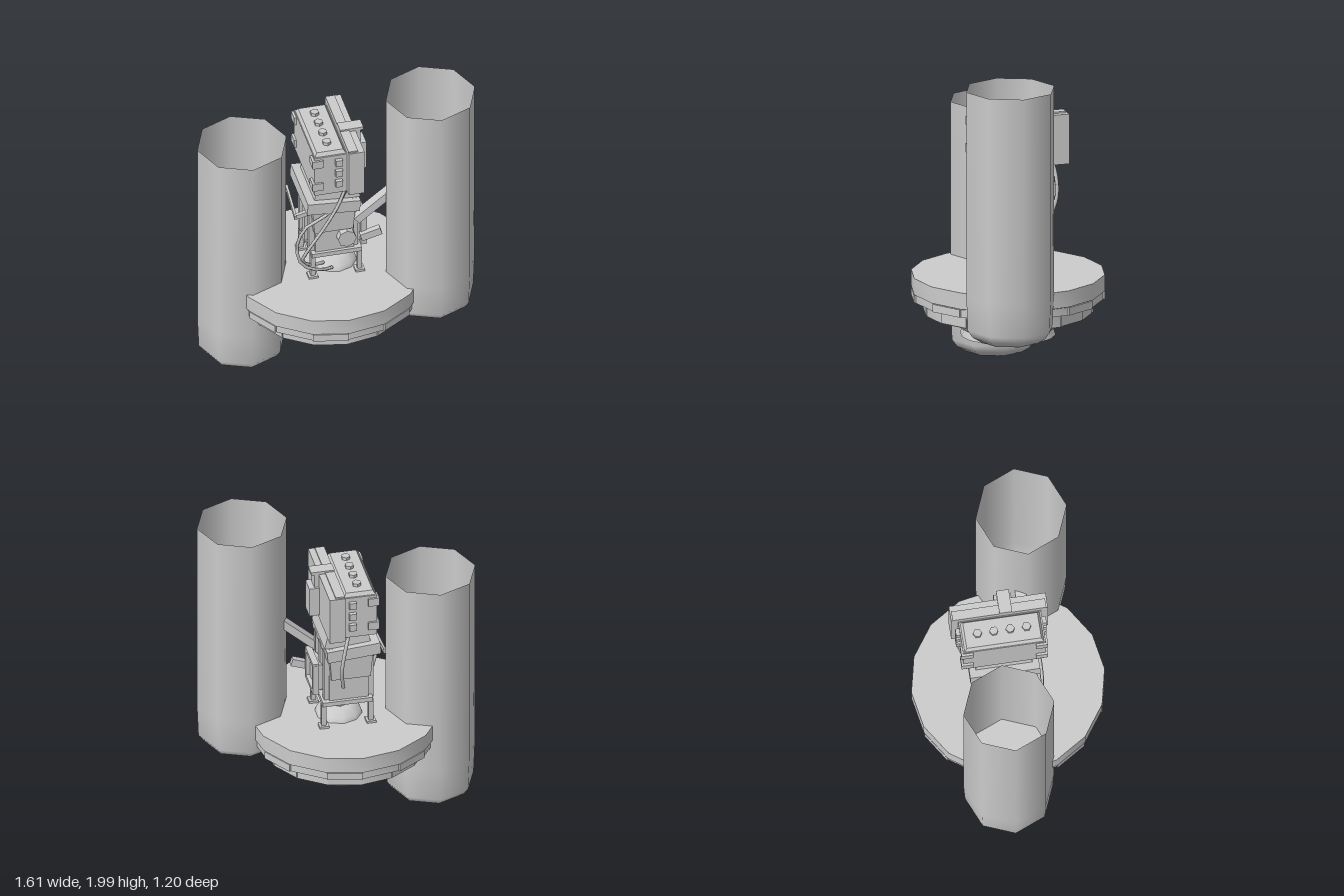
import * as THREE from 'three';
import { toCreasedNormals } from 'three/addons/utils/BufferGeometryUtils.js';

const grey = new THREE.MeshStandardMaterial({ color: 0xcccccc });
const greyDouble = new THREE.MeshStandardMaterial({ color: 0xcccccc, side: THREE.DoubleSide });
const greyFlat = new THREE.MeshStandardMaterial({ color: 0xcccccc, flatShading: true });

function add(parent, name, geometry, pos = [0, 0, 0], material = greyFlat) {
  const mesh = new THREE.Mesh(geometry, material);
  mesh.name = name;
  mesh.position.set(...pos);
  parent.add(mesh);
  return mesh;
}

function box(parent, name, size, pos) {
  return add(parent, name, new THREE.BoxGeometry(...size), pos);
}

// Box whose top is scaled in x and z
function taperedBox(parent, name, size, pos, sx, sz) {
  const g = new THREE.BoxGeometry(...size);
  const p = g.attributes.position;
  for (let i = 0; i < p.count; i++) {
    if (p.getY(i) > 0) p.setXYZ(i, p.getX(i) * sx, p.getY(i), p.getZ(i) * sz);
  }
  return add(parent, name, g, pos);
}

// Flat bar running between two points
function bar(parent, name, a, b, width, thickness) {
  const from = new THREE.Vector3(...a), to = new THREE.Vector3(...b);
  const mesh = box(parent, name, [width, thickness, from.distanceTo(to)],
    from.clone().add(to).multiplyScalar(0.5).toArray());
  mesh.lookAt(to);
  return mesh;
}

function lathe(points, segments) {
  return new THREE.LatheGeometry(points.map(([r, y]) => new THREE.Vector2(r, y)), segments);
}

function hose(parent, points, radius) {
  const curve = new THREE.CatmullRomCurve3(points.map(p => new THREE.Vector3(...p)));
  add(parent, 'hose', new THREE.TubeGeometry(curve, 14, radius, 5), [0, 0, 0], grey);
}

export function createModel() {
  const model = new THREE.Group();
  model.name = 'engineWithTanks';

  // Open-topped octagonal tanks with rounded bottoms
  const tank = (name, x, z, bottom, top) => {
    const profile = [[0, 0], [0.19, 0.02], [0.245, 0.055], [0.277, 0.1], [0.286, 0.32], [0.286, top - bottom]];
    add(model, name, lathe(profile, 8), [x, bottom, z], greyDouble)
      .rotation.y = THREE.MathUtils.degToRad(31);
  };
  tank('tallTank', 0.525, 0.322, 0.365, 2);
  tank('shortTank', -0.525, -0.205, 0.01, 1.64);

  // Stepped base with a hollow ring underneath
  const baseProfile = [
    [0, 0.36], [0.2, 0.36], [0.22, 0.3], [0.255, 0.265], [0.3, 0.265], [0.285, 0.31],
    [0.3, 0.315], [0.36, 0.385], [0.43, 0.41], [0.525, 0.41], [0.525, 0.5],
    [0.595, 0.5], [0.595, 0.55], [0.607, 0.555], [0.607, 0.66], [0, 0.66],
  ];
  add(model, 'base', toCreasedNormals(lathe(baseProfile, 16), 0.5), [-0.027, 0, 0], grey)
    .rotation.y = THREE.MathUtils.degToRad(7);
  // Overlapping plates around the rim
  for (let i = 0; i < 16; i += 2) {
    const holder = new THREE.Group();
    holder.position.set(-0.027, 0, 0);
    holder.rotation.y = THREE.MathUtils.degToRad(7 + 11.25 + i * 22.5);
    box(holder, 'rimPlate', [0.22, 0.05, 0.02], [0, 0.525, 0.586]);
    box(holder, 'lowerPlate', [0.2, 0.08, 0.02], [0, 0.455, 0.512]);
    model.add(holder);
  }

  const engine = new THREE.Group();
  engine.name = 'engine';
  engine.position.set(-0.05, 0, -0.05);
  engine.rotation.y = -0.25;
  model.add(engine);

  // Head with raised lid, bolts and corner blocks
  box(engine, 'head', [0.21, 0.29, 0.52], [0, 1.515, 0]);
  taperedBox(engine, 'headLid', [0.2, 0.025, 0.5], [0, 1.672, 0], 0.85, 0.94);
  for (let i = 0; i < 4; i++) {
    add(engine, 'lidBolt', new THREE.CylinderGeometry(0.028, 0.028, 0.03, 6), [0, 1.69, -0.155 + i * 0.103]);
  }
  for (const y of [1.44, 1.615]) {
    for (const z of [-0.235, 0.235]) box(engine, 'cornerBlock', [0.07, 0.055, 0.075], [-0.085, y, z]);
  }
  for (const z of [-0.27, 0.27]) {
    for (const y of [1.45, 1.53, 1.61]) box(engine, 'endStud', [0.045, 0.045, 0.03], [0.05, y, z]);
  }

  // Side plate with a strap over its top
  box(engine, 'sidePlate', [0.1, 0.32, 0.61], [0.155, 1.53, 0]);
  box(engine, 'sidePlateRidge', [0.06, 0.335, 0.59], [0.135, 1.532, 0]);
  box(engine, 'strapTop', [0.15, 0.02, 0.08], [0.18, 1.7, 0.04]);
  box(engine, 'strapSide', [0.03, 0.16, 0.08], [0.22, 1.63, 0.04]);
  box(engine, 'sideBox', [0.07, 0.2, 0.11], [0.235, 1.5, 0.04]);

  // Block below the head
  taperedBox(engine, 'neck', [0.3, 0.12, 0.36], [0.06, 1.31, 0], 0.8, 0.95);
  taperedBox(engine, 'upperBlock', [0.25, 0.24, 0.36], [0.04, 1.13, 0], 1.15, 1.05);
  box(engine, 'lowerBlock', [0.25, 0.2, 0.32], [0.05, 0.93, 0]);
  box(engine, 'blockFoot', [0.32, 0.03, 0.36], [0.06, 0.835, 0]);
  box(engine, 'band', [0.34, 0.08, 0.44], [0.03, 1.22, 0]).rotation.z = -0.08;
  for (const z of [-0.12, 0, 0.12]) {
    box(engine, 'sideRib', [0.05, 0.36, 0.05], [0.18, 1.02, z]);
    box(engine, 'sideRib', [0.04, 0.3, 0.04], [-0.09, 0.98, z]);
  }
  // Square frame on the side of the block
  for (const y of [0.86, 1.06]) box(engine, 'frameRail', [0.04, 0.025, 0.22], [0.24, y, 0.04]);
  for (const z of [-0.06, 0.14]) box(engine, 'framePost', [0.04, 0.2, 0.025], [0.24, 0.96, z]);
  box(engine, 'framePanel', [0.04, 0.18, 0.18], [0.215, 0.96, 0.04]);
  add(engine, 'pulley', new THREE.CylinderGeometry(0.06, 0.06, 0.05, 8), [0.12, 0.95, 0.18]).rotation.x = Math.PI / 2;

  // Legs and shaft seat
  for (const x of [-0.09, 0.21]) {
    for (const z of [-0.15, 0.15]) {
      box(engine, 'leg', [0.03, 0.18, 0.03], [x, 0.74, z]);
      box(engine, 'legFoot', [0.06, 0.02, 0.06], [x, 0.665, z]);
    }
  }
  add(engine, 'shaftSeat', lathe([[0.15, 0.655], [0.14, 0.69], [0.09, 0.73], [0, 0.73]], 10), [0.08, 0, 0], greyDouble);
  add(engine, 'shaft', new THREE.CylinderGeometry(0.045, 0.06, 0.12, 8), [0.08, 0.77, 0]);

  // Brace reaching into the tall tank
  bar(model, 'brace', [0.09, 1.07, 0.15], [0.32, 1.28, 0.23], 0.07, 0.05);
  const bracket = box(model, 'braceBracket', [0.12, 0.1, 0.18], [0.36, 1.27, 0.25]);
  bracket.rotation.y = -0.25;
  bar(model, 'lowerBrace', [0.12, 0.92, 0.16], [0.24, 0.96, 0.2], 0.04, 0.05);

  // Hoses and lever on the opposite side
  hose(model, [[0.05, 1.38, 0.15], [-0.02, 1.26, 0.16], [-0.13, 1.16, 0.15], [-0.25, 1.09, 0.12],
    [-0.3, 0.95, 0.1], [-0.27, 0.81, 0.11], [-0.16, 0.74, 0.13], [-0.05, 0.7, 0.1]], 0.011);
  hose(model, [[0.02, 1.38, 0.17], [-0.05, 1.24, 0.18], [-0.15, 1.08, 0.17], [-0.24, 0.93, 0.14],
    [-0.26, 0.83, 0.1], [-0.2, 0.76, 0.08], [-0.08, 0.71, 0.04]], 0.011);
  hose(model, [[0.06, 1.4, -0.25], [0.1, 1.28, -0.27], [0.12, 1.12, -0.26], [0.08, 0.95, -0.2]], 0.012);
  bar(model, 'lever', [-0.19, 1.16, -0.24], [-0.265, 1.11, 0.02], 0.015, 0.03);
  bar(model, 'leverLink', [-0.26, 1.12, 0.02], [-0.14, 1.16, 0.06], 0.025, 0.03);
  return model;
}
